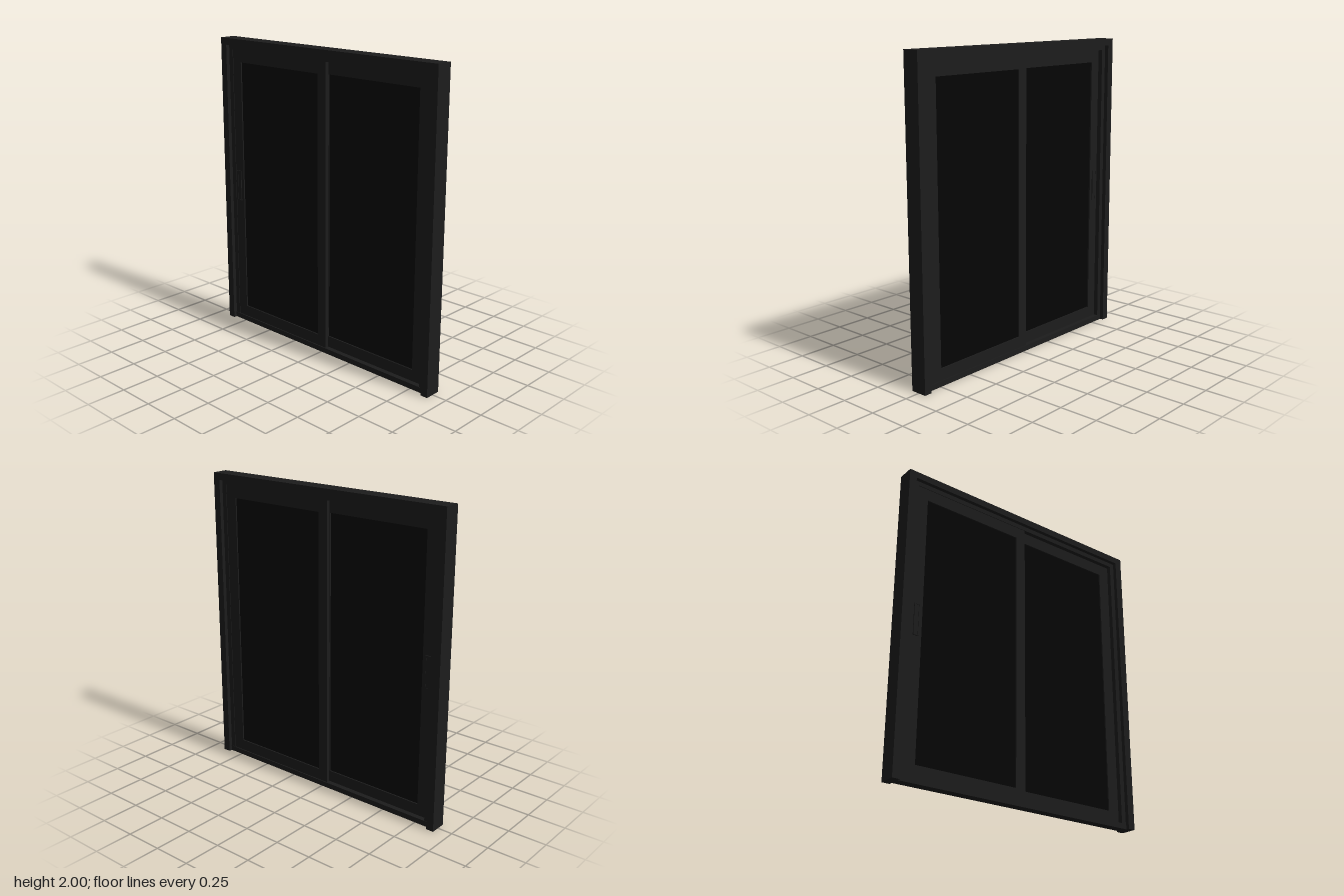
import * as THREE from 'three';

const metal = new THREE.MeshStandardMaterial({ color: 0x1c1c1c });
const glassMat = new THREE.MeshStandardMaterial({ color: 0x050505 });

// Box given by its min and max along each axis
function box(name, [x0, x1], [y0, y1], [z0, z1], material = metal) {
  const mesh = new THREE.Mesh(new THREE.BoxGeometry(x1 - x0, y1 - y0, z1 - z0), material);
  mesh.position.set((x0 + x1) / 2, (y0 + y1) / 2, (z0 + z1) / 2);
  mesh.name = name;
  return mesh;
}

// Rectangular ring in the xy plane, extruded from z0 to z1
function ring(name, outer, inner, [z0, z1]) {
  const corners = ([x0, x1, y0, y1]) =>
    [[x0, y0], [x1, y0], [x1, y1], [x0, y1]].map(([x, y]) => new THREE.Vector2(x, y));
  const shape = new THREE.Shape(corners(outer));
  shape.holes.push(new THREE.Path(corners(inner)));
  const geometry = new THREE.ExtrudeGeometry(shape, { depth: z1 - z0, bevelEnabled: false });
  geometry.translate(0, 0, z0);
  const mesh = new THREE.Mesh(geometry, metal);
  mesh.name = name;
  return mesh;
}

// Sliding panel: four-sided sash with a glass pane
function makePanel(name, x0, x1, openX0, openX1, z) {
  const panel = new THREE.Group();
  panel.name = name;
  panel.add(
    ring('sash', [x0, x1, 0.035, 1.925], [openX0, openX1, 0.11, 1.845], [z - 0.012, z + 0.012]),
    box('glass', [openX0 - 0.005, openX1 + 0.005], [0.105, 1.85], [z - 0.003, z + 0.003], glassMat)
  );
  return panel;
}

export function createModel() {
  const model = new THREE.Group();
  model.name = 'slidingDoor';

  // Outer frame: jambs, header and narrower sill
  const frame = new THREE.Group();
  frame.name = 'outerFrame';
  for (const s of [-1, 1]) {
    const side = s < 0 ? 'right' : 'left';
    const span = (a, b) => (s < 0 ? [-b, -a] : [a, b]);
    frame.add(
      box(side + 'Jamb', span(0.85, 0.9), [0, 2], [-0.055, 0.055]),
      box(side + 'JambStop', span(0.817, 0.85), [0.035, 1.955], [-0.029, 0.029])
    );
  }
  frame.add(
    box('header', [-0.85, 0.85], [1.955, 2], [-0.055, 0.055]),
    box('headerTrack', [-0.817, 0.817], [1.925, 1.955], [-0.029, 0.029]),
    box('sill', [-0.85, 0.85], [0, 0.035], [-0.032, 0.032])
  );
  model.add(frame);

  // Sliding panel in front, fixed panel behind, overlapping at the middle
  const slider = makePanel('slidingPanel', -0.817, 0.032, -0.743, -0.038, 0.013);
  model.add(slider, makePanel('fixedPanel', -0.036, 0.817, 0.032, 0.737, -0.013));

  // Pull handles on both faces of the sliding panel
  for (const s of [-1, 1]) {
    const z = 0.013 + s * 0.0145;
    const handle = new THREE.Group();
    handle.name = s > 0 ? 'frontHandle' : 'backHandle';
    handle.add(
      ring('handleRim', [-0.802, -0.764, 0.89, 1.1], [-0.795, -0.771, 0.897, 1.093], [z - 0.004, z + 0.004]),
      box('handlePlate', [-0.795, -0.771], [0.897, 1.093], [z - 0.003, z + 0.001])
    );
    slider.add(handle);
  }
  return model;
}
